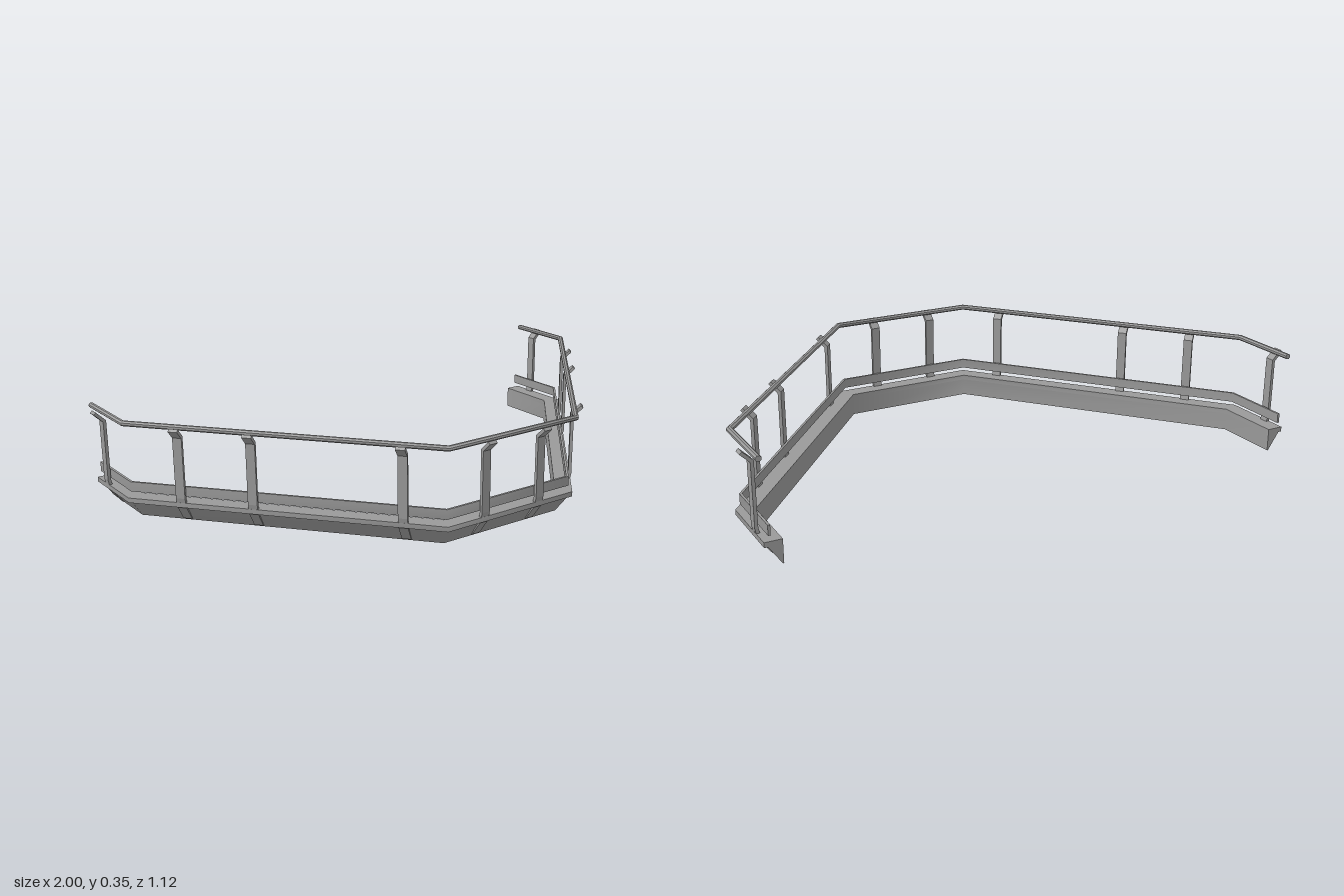
import * as THREE from 'three';

// Dark steel grey
const material = new THREE.MeshStandardMaterial({ color: 0x999999 });

// Outer plan line of the balcony as [x, z], from the right end round the front to the left end
const half = [[-0.976, -0.563], [-0.976, -0.305], [-0.27, 0.537]];
const outline = [...half, ...half.slice().reverse().map(([x, z]) => [-x, z])].map(p => new THREE.Vector2(...p));

// Inward normal of the run from a to b
function inward(a, b) {
  const u = b.clone().sub(a).normalize();
  return new THREE.Vector2(u.y, -u.x);
}

// Sweep a closed counter-clockwise section of [inset, height] along a plan path with mitred corners:
// smooth along the path, sharp at the corners of the section
function sweep(name, section, path) {
  const last = path.length - 1;
  const rings = path.map((p, i) => {
    const n1 = inward(path[Math.max(i - 1, 0)], path[Math.max(i, 1)]);
    const n2 = inward(path[Math.min(i, last - 1)], path[Math.min(i + 1, last)]);
    const miter = n1.clone().add(n2).divideScalar(1 + n1.dot(n2));
    return section.map(([o, y]) => [p.x + miter.x * o, y, p.y + miter.y * o]);
  });
  const pos = [], index = [];
  // One strip for each side of the section
  section.forEach((_, j) => {
    const k = (j + 1) % section.length;
    rings.forEach((ring, i) => {
      const a = pos.length / 3;
      pos.push(...ring[j], ...ring[k]);
      if (i < last) index.push(a, a + 1, a + 2, a + 1, a + 3, a + 2);
    });
  });
  // End caps
  const contour = section.map(s => new THREE.Vector2(...s));
  const faces = THREE.ShapeUtils.triangulateShape(contour, []);
  const start = pos.length / 3, end = start + section.length;
  pos.push(...rings[0].flat(), ...rings[last].flat());
  for (const [a, b, c] of faces) index.push(start + c, start + b, start + a, end + a, end + b, end + c);

  const geometry = new THREE.BufferGeometry();
  geometry.setAttribute('position', new THREE.Float32BufferAttribute(pos, 3));
  geometry.setIndex(index);
  geometry.computeVertexNormals();
  const mesh = new THREE.Mesh(geometry, material);
  mesh.name = name;
  return mesh;
}

const box = (o0, o1, y0, y1) => [[o0, y0], [o1, y0], [o1, y1], [o0, y1]];

export function createModel() {
  const group = new THREE.Group();
  group.name = 'balconyRailing';

  // Slim handrail with an eight-sided section
  const railSection = Array.from({ length: 8 }, (_, i) => {
    const a = (i + 0.5) * Math.PI / 4;
    return [0.009 + 0.0105 * Math.cos(a), 0.341 + 0.0095 * Math.sin(a)];
  });
  group.add(sweep('handrail', railSection, outline));

  // Toe board, deck slab and the solid base with its slanted outer skirt
  group.add(sweep('toeBoard', box(0.024, 0.032, 0.098, 0.132), outline));
  group.add(sweep('deck', box(0.01, 0.068, 0.062, 0.079), outline));
  group.add(sweep('base', [[0.064, 0], [0.068, 0], [0.068, 0.062], [0.022, 0.062]], outline));

  // Bent flat posts: splayed at the top, tucked under along the skirt
  const postSection = [
    [-0.025, 0.335], [0.006, 0.305], [0.007, 0.095], [0.014, 0.062], [0.057, 0.005],
    [0.066, 0.009], [0.025, 0.066], [0.018, 0.097], [0.017, 0.31], [-0.017, 0.343],
  ];
  const posts = new THREE.Group();
  posts.name = 'posts';
  // [run of the outline, fraction along it]
  const places = [[0, 0.32], [1, 0.175], [1, 0.404], [1, 0.862], [2, 0.287],
    [2, 0.713], [3, 0.138], [3, 0.596], [3, 0.825], [4, 0.68]];
  for (const [run, t] of places) {
    const a = outline[run], b = outline[run + 1];
    const centre = a.clone().lerp(b, t);
    const step = b.clone().sub(a).setLength(0.016);
    posts.add(sweep('post', postSection, [centre.clone().sub(step), centre.clone().add(step)]));
  }
  group.add(posts);
  return group;
}
